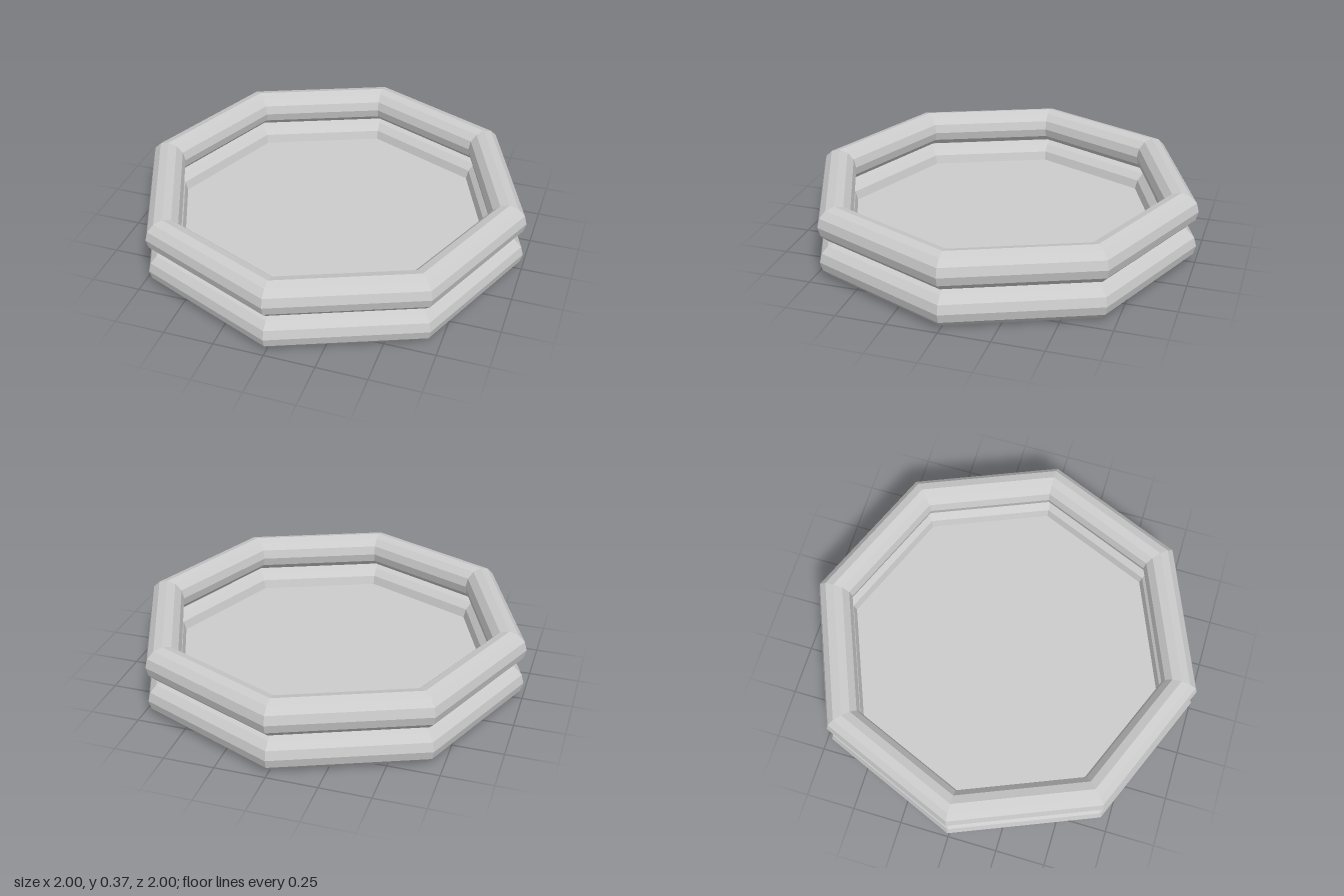
import * as THREE from 'three';

const SIDES = 8;      // corners of the pool outline
const TUBE = 0.091;   // tube radius
const RING = 0.909;   // ring radius to the tube centre

export function createModel() {
  const group = new THREE.Group();
  group.name = 'paddlingPool';
  const material = new THREE.MeshStandardMaterial({ color: 0xcccccc, flatShading: true });

  // Two stacked inflatable rings
  const ringGeometry = new THREE.TorusGeometry(RING, TUBE, 12, SIDES).rotateX(-Math.PI / 2);
  [['lowerRing', TUBE], ['upperRing', 0.279]].forEach(([name, y]) => {
    const ring = new THREE.Mesh(ringGeometry, material);
    ring.name = name;
    ring.position.y = y;
    group.add(ring);
  });

  // Thin floor sheet at the middle of the lower ring
  const floorMaterial = material.clone();
  floorMaterial.side = THREE.DoubleSide;
  const floor = new THREE.Mesh(
    new THREE.CircleGeometry(RING - TUBE + 0.01, SIDES).rotateX(-Math.PI / 2),
    floorMaterial
  );
  floor.name = 'floor';
  floor.position.y = TUBE;
  group.add(floor);

  return group;
}
